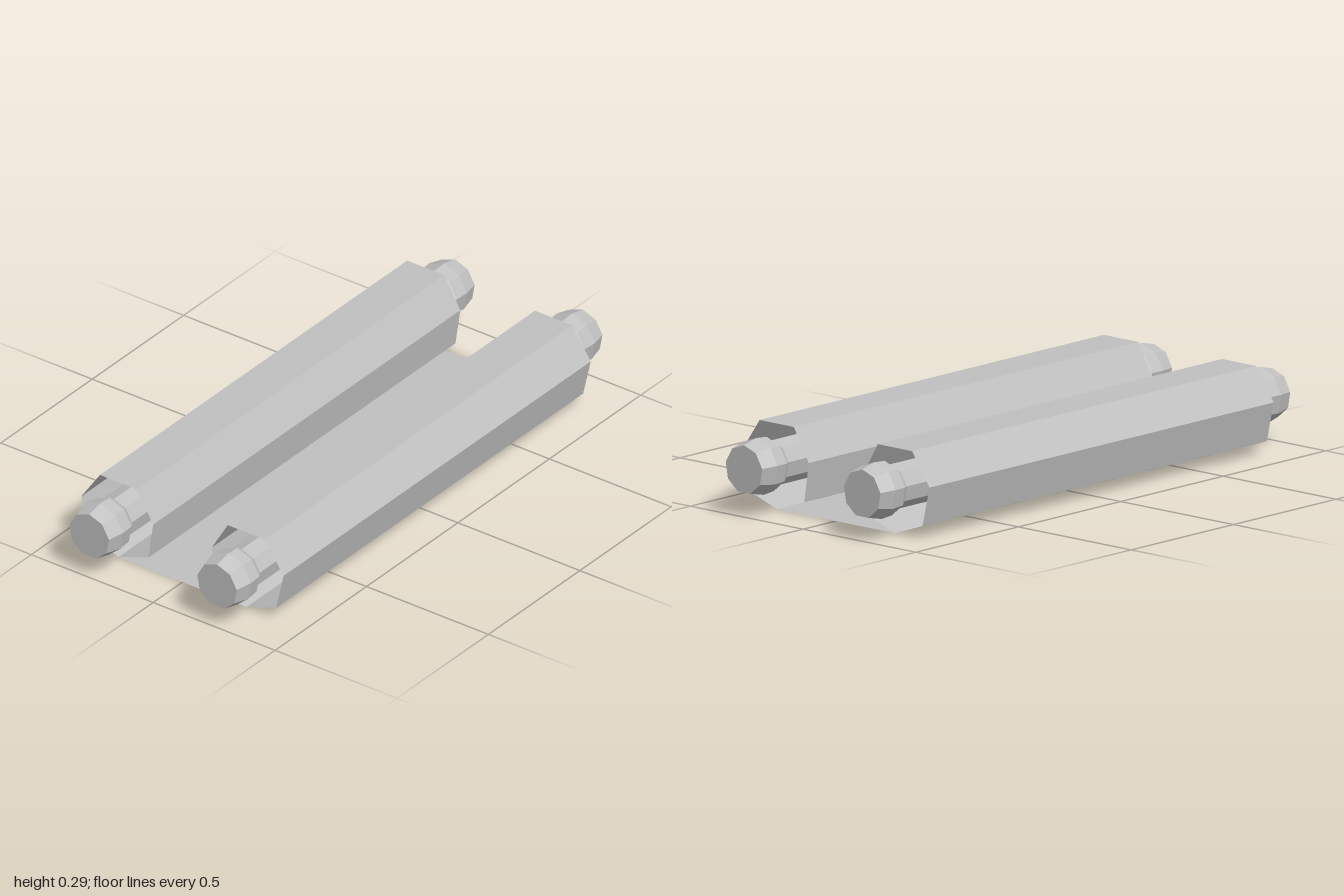
import * as THREE from 'three';

const ROLL_X = 0.262;      // distance of each roller axis from the centre
const ROLL_Y = 0.16;       // height of the roller axes
const SHEET_HALF = 0.84;   // half the length of the sheet
const SIDES = 9;

// Sheet swept along z from a cross-section of [x, y] points
function sweep(points, halfLength) {
  const positions = [];
  for (let i = 0; i < points.length - 1; i++) {
    const [ax, ay] = points[i];
    const [bx, by] = points[i + 1];
    const a0 = [ax, ay, -halfLength], a1 = [ax, ay, halfLength];
    const b0 = [bx, by, -halfLength], b1 = [bx, by, halfLength];
    positions.push(...a0, ...a1, ...b1, ...a0, ...b1, ...b0);
  }
  const geometry = new THREE.BufferGeometry();
  geometry.setAttribute('position', new THREE.Float32BufferAttribute(positions, 3));
  geometry.computeVertexNormals();
  return geometry;
}

export function createModel() {
  const grey = new THREE.MeshStandardMaterial({ color: 0xc0c0c0 });
  grey.name = 'grey';
  grey.flatShading = true;
  grey.side = THREE.DoubleSide;

  const model = new THREE.Group();
  model.name = 'scroll';

  // Seven-sided curl, starting and ending at its lowest corner
  const curl = [
    [0, 0], [0.122, 0.042], [0.153, 0.177], [0.076, 0.288],
    [-0.076, 0.288], [-0.142, 0.177], [-0.122, 0.042], [0, 0],
  ];
  const rightCurl = curl.map(([x, y]) => [ROLL_X + x, y]);
  const leftCurl = rightCurl.map(([x, y]) => [-x, y]).reverse();

  // One open sheet: curl, flat middle, curl
  const sheet = new THREE.Mesh(sweep([...leftCurl, ...rightCurl], SHEET_HALF), grey);
  sheet.name = 'rolledSheet';
  model.add(sheet);

  // Roller rods with a rounded knob at both ends
  const knob = [[0.076, 0.865], [0.092, 0.89], [0.096, 0.94], [0.082, 1], [0, 1]];
  const profile = [
    ...knob.map(([r, z]) => new THREE.Vector2(r, -z)).reverse(),
    ...knob.map(([r, z]) => new THREE.Vector2(r, z)),
  ];
  const rollerGeometry = new THREE.LatheGeometry(profile, SIDES, Math.PI);
  rollerGeometry.rotateX(Math.PI / 2);
  for (const side of [-1, 1]) {
    const roller = new THREE.Mesh(rollerGeometry, grey);
    roller.name = side > 0 ? 'leftRoller' : 'rightRoller';
    roller.position.set(side * ROLL_X, ROLL_Y, 0);
    model.add(roller);
  }

  return model;
}
